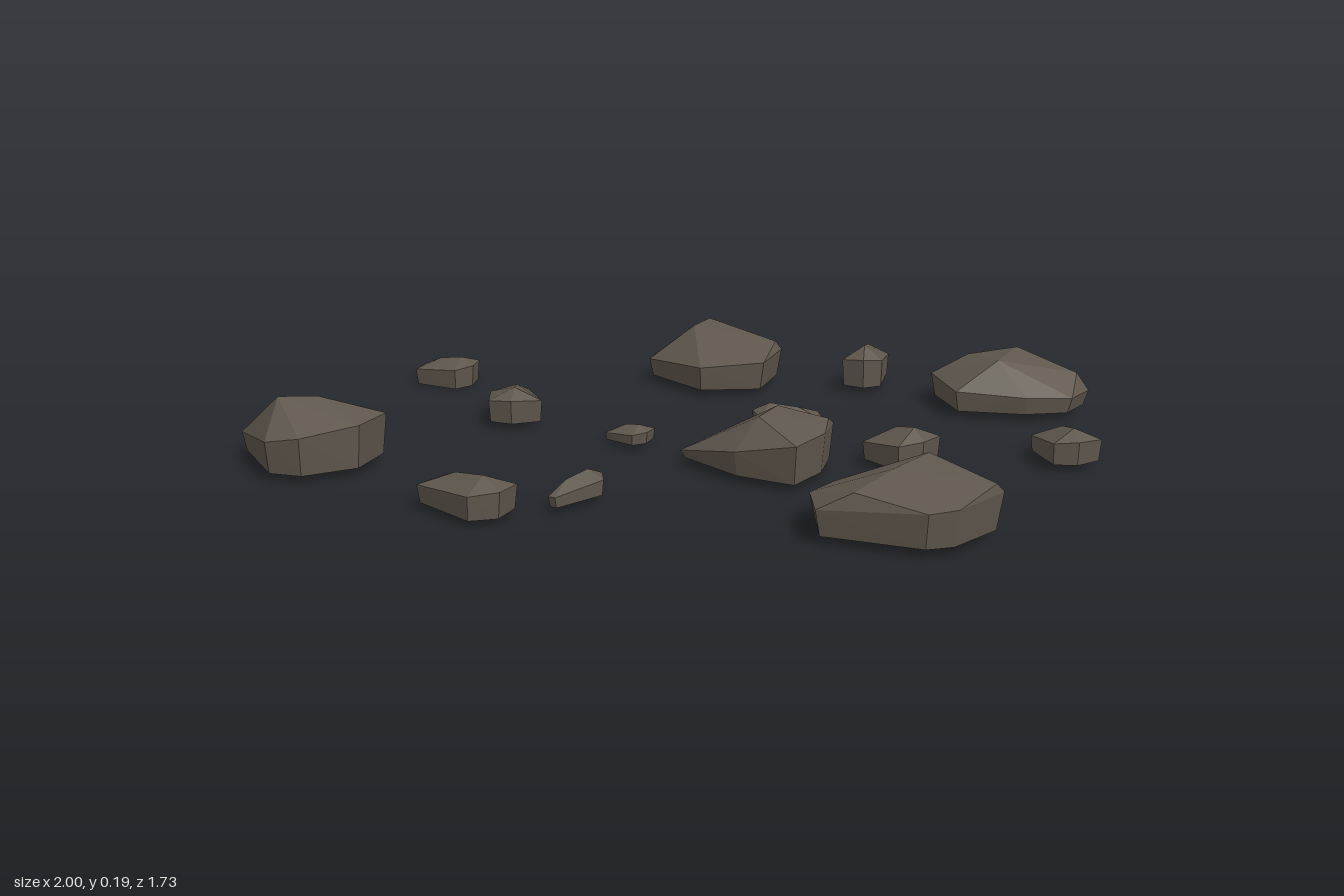
import * as THREE from 'three';
import { ConvexGeometry } from 'three/addons/geometries/ConvexGeometry.js';

const BASE_INSET = 0.94;

// Faceted stone: inset flat base, rim of corners {x, z, y} and raised crest points
function addStone(group, material, name, base, rim, crest) {
  const cx = rim.reduce((sum, p) => sum + p.x, 0) / rim.length;
  const cz = rim.reduce((sum, p) => sum + p.z, 0) / rim.length;
  const foot = rim.map((p) => new THREE.Vector3(
    cx + (p.x - cx) * BASE_INSET, base, cz + (p.z - cz) * BASE_INSET));
  const mesh = new THREE.Mesh(new ConvexGeometry([...foot, ...rim, ...crest]), material);
  mesh.name = name;
  group.add(mesh);
}

export function createModel() {
  const group = new THREE.Group();
  group.name = 'scatteredStones';
  const stone = new THREE.MeshStandardMaterial({ color: 0x5f574d });
  stone.name = 'brown stone';

  // Large stone: outline [x, z]; the rim is a plane tilted along x; the crest stands above it
  const boulder = (name, outline, rimHeight, tilt, crest) => {
    const midX = outline.reduce((sum, p) => sum + p[0], 0) / outline.length;
    const rim = outline.map(([x, z]) => new THREE.Vector3(x, rimHeight + tilt * (x - midX), z));
    addStone(group, stone, name, 0.018, rim, crest.map((p) => new THREE.Vector3(...p)));
  };

  // Small stone: tapered five-sided chip, its high wide end pointing along yaw (degrees);
  // a negative width mirrors it
  const chip = (name, x, z, length, width, yaw, height, taper, base = 0.015) => {
    const angle = THREE.MathUtils.degToRad(yaw);
    const place = (u, v, y) => new THREE.Vector3(
      x + u * length * Math.cos(angle) - v * width * Math.sin(angle),
      y * height,
      z + u * length * Math.sin(angle) + v * width * Math.cos(angle));
    const rim = [
      place(-0.5, -taper / 2, 0.55), place(-0.5, taper / 2, 0.55),
      place(0.3, 0.5, 0.7), place(0.5, 0.1, 0.75), place(0.42, -0.5, 0.7),
    ];
    addStone(group, stone, name, base, rim, [place(0.25, 0, 1), place(-0.15, -0.1, 0.88)]);
  };

  // Large stones
  boulder('largeStoneBack',
    [[-0.36, -0.68], [-0.08, -0.68], [-0.04, -0.49], [-0.19, -0.39], [-0.41, -0.48], [-0.425, -0.53]],
    0.08, 0.08, [[-0.31, 0.165, -0.66], [-0.3, 0.165, -0.55], [-0.09, 0.12, -0.66]]);
  boulder('largeStoneBackLeft',
    [[0.39, -0.68], [0.42, -0.79], [0.56, -0.815], [0.81, -0.79], [0.8, -0.68], [0.7, -0.6], [0.52, -0.54]],
    0.07, -0.05, [[0.47, 0.13, -0.75], [0.61, 0.165, -0.76], [0.6, 0.15, -0.64], [0.78, 0.11, -0.77]]);
  boulder('largeStoneFrontRight',
    [[-0.905, 0.69], [-0.87, 0.55], [-0.72, 0.52], [-0.57, 0.53], [-0.54, 0.67], [-0.62, 0.8], [-0.71, 0.82]],
    0.1, 0.17, [[-0.75, 0.185, 0.72], [-0.69, 0.175, 0.64], [-0.59, 0.14, 0.57]]);
  boulder('largeStoneFrontLeft',
    [[0.565, 0.45], [0.58, 0.35], [0.75, 0.23], [0.98, 0.33], [0.94, 0.49], [0.89, 0.54], [0.64, 0.575]],
    0.09, 0.08, [[0.78, 0.155, 0.28], [0.76, 0.153, 0.43], [0.97, 0.13, 0.35], [0.72, 0.125, 0.55]]);
  boulder('largeStoneCentre',
    [[0.085, 0.2], [0.1, 0.08], [0.34, 0.02], [0.42, 0.02], [0.455, 0.14], [0.445, 0.275], [0.28, 0.275]],
    0.085, 0.22, [[0.3, 0.155, 0.09], [0.3, 0.15, 0.19], [0.43, 0.135, 0.07]]);

  // Small stones
  chip('smallStoneBack', 0.165, -0.755, 0.21, -0.11, 80, 0.13, 0.6);
  chip('smallStoneFarLeft', 0.908, -0.285, 0.165, 0.13, 35, 0.1, 0.6);
  chip('smallStoneInnerBack', 0.19, -0.18, 0.18, 0.11, 145, 0.085, 0.8);
  chip('smallStoneInnerLeft', 0.57, -0.05, 0.16, 0.15, 12, 0.11, 0.65);
  chip('smallStoneFarRight', -0.91, -0.17, 0.17, 0.14, -15, 0.08, 0.5, 0);
  chip('smallStoneInnerRight', -0.51, 0.07, 0.2, 0.14, 50, 0.105, 0.75);
  chip('pebble', -0.11, 0.12, 0.115, 0.09, 0, 0.06, 0.6);
  chip('smallStoneFront', 0.035, 0.595, 0.18, 0.08, -85, 0.075, 0.25);
  chip('wedgeStoneFront', -0.145, 0.785, 0.24, 0.14, 5, 0.105, 0.4);
  return group;
}
